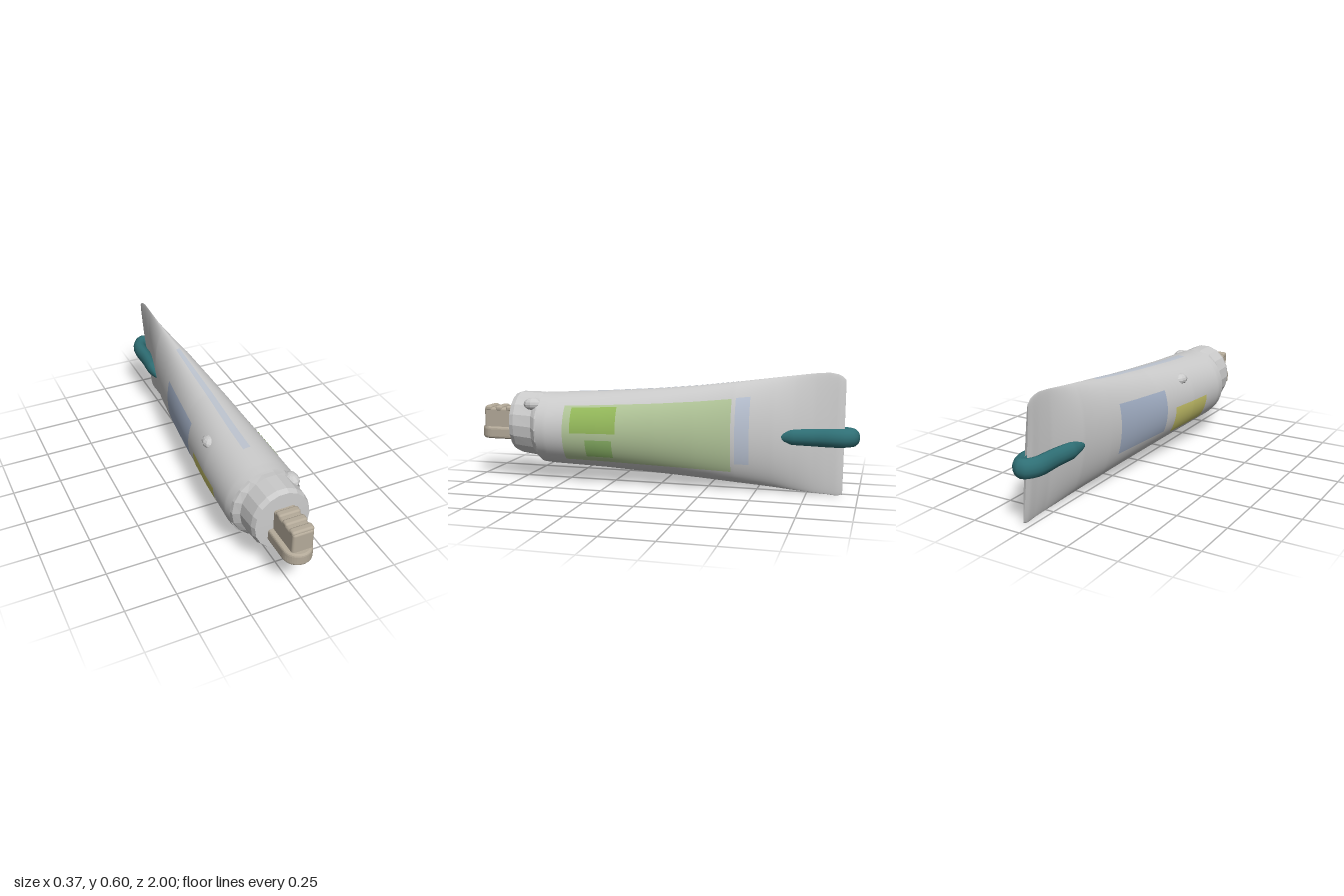
import * as THREE from 'three';
import { ParametricGeometry } from 'three/addons/geometries/ParametricGeometry.js';
import { RoundedBoxGeometry } from 'three/addons/geometries/RoundedBoxGeometry.js';

// Cross-sections: [z, half width, bottom y, top y, pointedness, lean, centre x]
const TUBE = [
  [-0.925, 0.006, 0.015, 0.57, 1.0, 0.025, 0.01],
  [-0.90, 0.013, 0.005, 0.595, 1.1, 0.025, 0.01],
  [-0.85, 0.018, 0.01, 0.605, 1.4, 0.025, 0.01],
  [-0.78, 0.028, 0.014, 0.60, 1.6, 0.024, 0.01],
  [-0.68, 0.05, 0.02, 0.587, 1.5, 0.02, 0.008],
  [-0.58, 0.074, 0.028, 0.574, 1.3, 0.015, 0.008],
  [-0.40, 0.102, 0.04, 0.55, 1.05, 0.008, 0.012],
  [-0.20, 0.126, 0.054, 0.525, 1, 0.004, 0.012],
  [0.0, 0.146, 0.065, 0.505, 1, 0, 0.01],
  [0.30, 0.172, 0.08, 0.482, 1, 0, 0.003],
  [0.58, 0.186, 0.088, 0.466, 1, 0, 0],
  [0.63, 0.182, 0.092, 0.465, 1, 0, 0],
];
const COLLAR = [
  [0.60, 0.18, 0.092, 0.462, 1, 0, 0],
  [0.64, 0.176, 0.10, 0.462, 1, 0, 0],
  [0.67, 0.15, 0.122, 0.465, 1, 0, 0],
  [0.77, 0.147, 0.135, 0.465, 1, 0, 0],
  [0.795, 0.138, 0.148, 0.455, 1, 0, 0],
  [0.80, 0.001, 0.298, 0.30, 1, 0, 0],
];

function sectionAt(rows, z) {
  let i = 0;
  while (i < rows.length - 2 && z > rows[i + 1][0]) i++;
  const a = rows[i], b = rows[i + 1];
  const t = THREE.MathUtils.clamp((z - a[0]) / (b[0] - a[0]), 0, 1);
  return a.map((v, k) => v + (b[k] - v) * t);
}

// Point on a lofted skin at an angle and a depth
function skin(rows, angle, z, lift, target) {
  const [, w, y0, y1, p, lean, cx] = sectionAt(rows, z);
  const c = Math.cos(angle), s = Math.sin(angle);
  const x = (w + lift) * Math.sign(c) * Math.pow(Math.abs(c), p);
  target.set(cx + x - lean * s, (y0 + y1) / 2 + ((y1 - y0) / 2 + lift) * s, z);
}

// Patch of the tube skin between two angles (degrees) and two depths
function tubePatch(a0, a1, z0, z1, lift, nu, nv) {
  const rad = THREE.MathUtils.degToRad;
  return new ParametricGeometry((u, v, t) =>
    skin(TUBE, rad(a0 + (a1 - a0) * u), z0 + (z1 - z0) * v, lift, t), nu, nv);
}

// Faceted loft that uses exactly the given rows
function facetedLoft(rows, sides) {
  const pos = [], idx = [], p = new THREE.Vector3();
  rows.forEach((row) => {
    for (let j = 0; j < sides; j++) {
      skin(rows, (j / sides) * Math.PI * 2, row[0], 0, p);
      pos.push(p.x, p.y, p.z);
    }
  });
  for (let i = 0; i < rows.length - 1; i++) {
    for (let j = 0; j < sides; j++) {
      const a = i * sides + j, b = i * sides + (j + 1) % sides;
      idx.push(a, b, b + sides, a, b + sides, a + sides);
    }
  }
  const g = new THREE.BufferGeometry();
  g.setAttribute('position', new THREE.Float32BufferAttribute(pos, 3));
  g.setIndex(idx);
  g.computeVertexNormals();
  return g;
}

// Hairpin tube with tapering tips
function clipGeometry() {
  const half = [[0.054, -0.57], [0.05, -0.66], [0.042, -0.78], [0.036, -0.92]];
  const pts = half.map(([x, z]) => new THREE.Vector3(x, 0, z));
  pts.push(new THREE.Vector3(0, 0, -0.964));
  half.reverse().forEach(([x, z]) => pts.push(new THREE.Vector3(-x, 0, z)));
  const curve = new THREE.CatmullRomCurve3(pts);
  const seg = 72, sides = 14;
  const g = new THREE.TubeGeometry(curve, seg, 0.036, sides);
  const pos = g.attributes.position, v = new THREE.Vector3();
  for (let i = 0; i <= seg; i++) {
    const c = curve.getPointAt(i / seg);
    const end = Math.min(i, seg - i) / (seg / 2);
    const k = Math.min(1, Math.sqrt(end * 4)) * (0.82 + 0.18 * Math.min(1, end * 1.4));
    for (let j = 0; j <= sides; j++) {
      const n = i * (sides + 1) + j;
      v.fromBufferAttribute(pos, n).sub(c).multiplyScalar(k);
      pos.setXYZ(n, c.x + v.x, v.y * 1.28, c.z + v.z);
    }
  }
  g.computeVertexNormals();
  return g;
}

export function createModel() {
  const model = new THREE.Group();
  const mat = (color, extra = {}) => new THREE.MeshStandardMaterial({ color, ...extra });
  const grey = mat(0xcccccc, { side: THREE.DoubleSide });
  const facetGrey = mat(0xcccccc, { flatShading: true });
  const tan = mat(0xb5ab9a);
  const teal = mat(0x2f6f75);
  const add = (name, geometry, material, x = 0, y = 0, z = 0, parent = model) => {
    const m = new THREE.Mesh(geometry, material);
    m.name = name;
    m.position.set(x, y, z);
    parent.add(m);
    return m;
  };

  // Squeezed tube, round at the front and pinched flat at the back
  add('tubeBody', tubePatch(0, 360, -0.925, 0.63, 0, 64, 80), grey);

  // Faded printed patches: [name, angle from, to, z from, to, colour, lift]
  [
    ['greenLabel', -48, 44, -0.38, 0.48, 0xb3c79a, 0.0015],
    ['greenLabelFront', 0, 40, 0.2, 0.44, 0x96bb5c, 0.0025],
    ['greenLabelLower', -38, -10, 0.22, 0.36, 0x8fb96a, 0.0025],
    ['paleBand', -35, 45, -0.47, -0.4, 0xb9c2d2, 0.0015],
    ['blueLabel', 150, 212, -0.32, 0.06, 0xa3b0c6, 0.0015],
    ['yellowLabel', 180, 222, 0.14, 0.44, 0xc9c56c, 0.0015],
    ['topStripe', 88, 100, -0.4, 0.45, 0xbcc3ce, 0.0015],
  ].forEach(([name, a0, a1, z0, z1, color, lift]) =>
    add(name, tubePatch(a0, a1, z0, z1, lift, 14, 30), mat(color)));

  // Faceted collar with its flat front
  add('collar', facetedLoft(COLLAR, 18), facetGrey);

  // Small bumps on the tube and the collar
  const nub = add('tubeNub', new THREE.SphereGeometry(0.04, 10, 8), facetGrey, -0.112, 0.405, 0.25);
  nub.scale.set(0.9, 0.75, 1.2);
  const lug = add('collarLug', new THREE.SphereGeometry(0.045, 10, 8), facetGrey, 0.105, 0.41, 0.67);
  lug.scale.set(0.85, 0.75, 1.1);

  // Nozzle: upright block with ridges on a rounded lower lip
  const nozzle = new THREE.Group();
  nozzle.name = 'nozzle';
  model.add(nozzle);
  add('nozzleBlock', new RoundedBoxGeometry(0.106, 0.14, 0.2, 3, 0.014), tan, 0.006, 0.307, 0.875, nozzle);
  for (const z of [0.83, 0.89, 0.95]) {
    add('nozzleRidge', new RoundedBoxGeometry(0.11, 0.03, 0.04, 2, 0.012), tan, 0.006, 0.372, z, nozzle);
  }
  const r = 0.062;
  const lip = new THREE.Shape();
  lip.moveTo(-r, -0.78);
  lip.lineTo(r, -0.78);
  lip.lineTo(r, -0.93);
  lip.absarc(0, -0.93, r, 0, -Math.PI, true);
  lip.closePath();
  const lipGeometry = new THREE.ExtrudeGeometry(lip, {
    depth: 0.036, bevelThickness: 0.014, bevelSize: 0.01, bevelSegments: 3, curveSegments: 10,
  });
  lipGeometry.rotateX(-Math.PI / 2);
  add('nozzleLip', lipGeometry, tan, 0, 0.224, 0, nozzle);

  // Hairpin clip gripping the flat end
  add('clip', clipGeometry(), teal, -0.002, 0.282, 0).rotation.x = 0.01;

  return model;
}
